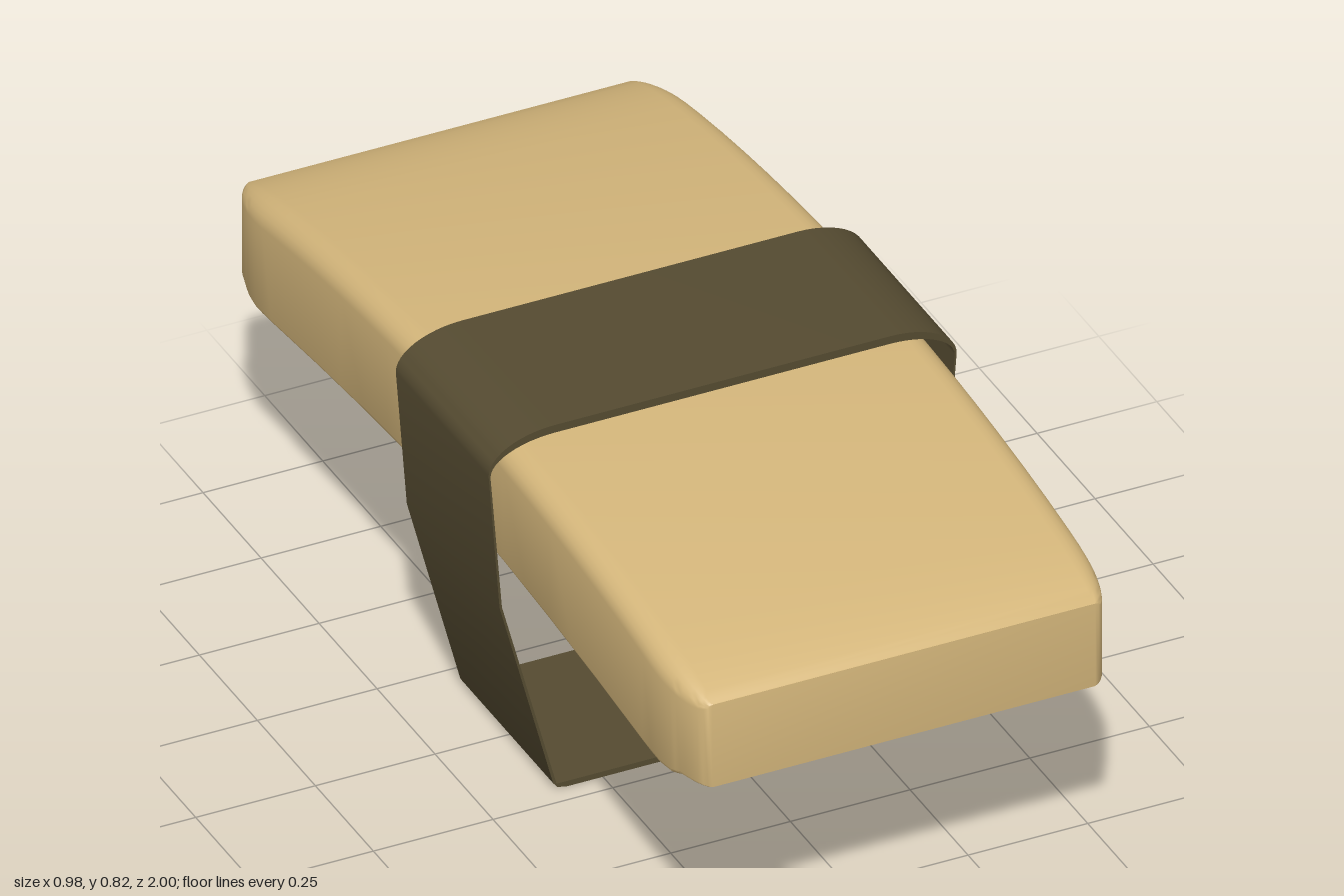
import * as THREE from 'three';
import { toCreasedNormals } from 'three/addons/utils/BufferGeometryUtils.js';

const HALF_WIDTH = 0.45;

// Piecewise-linear lookup in a list of [position, value] pairs
function sample(table, p) {
  for (let i = 1; i < table.length; i++) {
    const [a, va] = table[i - 1], [b, vb] = table[i];
    if (p <= b) return va + (vb - va) * (p - a) / (b - a);
  }
  return table[table.length - 1][1];
}

// Top and bottom heights against distance from the middle
const topAt = (d) => 0.79 - 0.098 * d * d - 0.022 * Math.pow(d, 14);
const bottomAt = (d) => sample([[0, 0.528], [0.2, 0.523], [0.4, 0.51], [0.6, 0.493],
  [0.8, 0.472], [0.87, 0.466], [0.91, 0.469], [0.94, 0.481], [1, 0.485]], d);

// Half width, rounded in over the last stretch
function widthAt(d) {
  const t = THREE.MathUtils.clamp((d - 0.83) / 0.17, 0, 1);
  return HALF_WIDTH - 0.05 * (1 - Math.sqrt(1 - t * t));
}

// Rounded cross-section, counter-clockwise seen from the front
function section(z) {
  const d = Math.abs(z), w = widthAt(d), top = topAt(d), bottom = bottomAt(d);
  const rx = Math.max(0.002, 0.052 - (HALF_WIDTH - w));
  const k = rx / 0.052, steps = 6, points = [];
  const corners = [[1, 1], [-1, 1], [-1, -1], [1, -1]];
  corners.forEach(([sx, sy], c) => {
    const ry = (sy > 0 ? 0.045 : 0.02) * k;
    for (let i = 0; i <= steps; i++) {
      const a = (c + i / steps) * Math.PI / 2;
      points.push([-0.005 + sx * (w - rx) + rx * Math.cos(a),
        (sy > 0 ? top - ry : bottom + ry) + ry * Math.sin(a), z]);
    }
  });
  return points;
}

// Arched block lofted through the sections, closed at both ends
function blockGeometry() {
  const half = [0, 0.1, 0.2, 0.3, 0.4, 0.5, 0.6, 0.7, 0.8, 0.84, 0.87, 0.89, 0.91, 0.925,
    0.94, 0.955, 0.97, 0.982, 0.992, 0.998, 1];
  const stations = [...half.slice(1).reverse().map((z) => -z), ...half];
  const rings = stations.map(section);
  const n = rings[0].length, last = rings.length - 1;
  const positions = rings.flat(2), index = [];
  for (let r = 0; r < last; r++) {
    for (let i = 0; i < n; i++) {
      const a = r * n + i, b = r * n + (i + 1) % n;
      index.push(a, b, b + n, a, b + n, a + n);
    }
  }
  for (let i = 1; i < n - 1; i++) {
    index.push(0, i + 1, i);
    index.push(last * n, last * n + i, last * n + i + 1);
  }
  const geometry = new THREE.BufferGeometry();
  geometry.setAttribute('position', new THREE.Float32BufferAttribute(positions, 3));
  geometry.setIndex(index);
  return toCreasedNormals(geometry, 0.6);
}

// Right half of a band outline from bottom to top, mirrored into a loop
function bandLoop(lower, cx, cy, rx, ry) {
  const right = lower.map(([x, y]) => new THREE.Vector2(x, y));
  for (let i = 0; i <= 12; i++) {
    const a = i / 12 * Math.PI / 2;
    right.push(new THREE.Vector2(cx + rx * Math.cos(a), cy + ry * Math.sin(a)));
  }
  const left = right.map((p) => new THREE.Vector2(-p.x, p.y)).reverse();
  return [...right, ...left];
}

// Tapered strap, thicker over the top than down the sides
function bandGeometry() {
  const shape = new THREE.Shape(bandLoop(
    [[0.325, 0], [0.345, 0.004], [0.354, 0.015], [0.466, 0.44]], 0.35, 0.742, 0.139, 0.076));
  shape.holes.push(new THREE.Path(bandLoop(
    [[0.347, 0.012], [0.461, 0.44]], 0.35, 0.738, 0.135, 0.063)));
  const geometry = new THREE.ExtrudeGeometry(shape, { depth: 0.4, bevelEnabled: false });
  geometry.translate(0, 0, -0.192);
  return toCreasedNormals(geometry, 0.5);
}

export function createModel() {
  const tan = new THREE.MeshStandardMaterial({ color: 0xd4b67b });
  tan.name = 'tan';
  const darkOlive = new THREE.MeshStandardMaterial({ color: 0x554b31 });
  darkOlive.name = 'dark olive';

  const group = new THREE.Group();
  group.name = 'strappedBlock';

  const block = new THREE.Mesh(blockGeometry(), tan);
  block.name = 'archedBlock';
  const band = new THREE.Mesh(bandGeometry(), darkOlive);
  band.name = 'band';
  group.add(block, band);
  return group;
}
